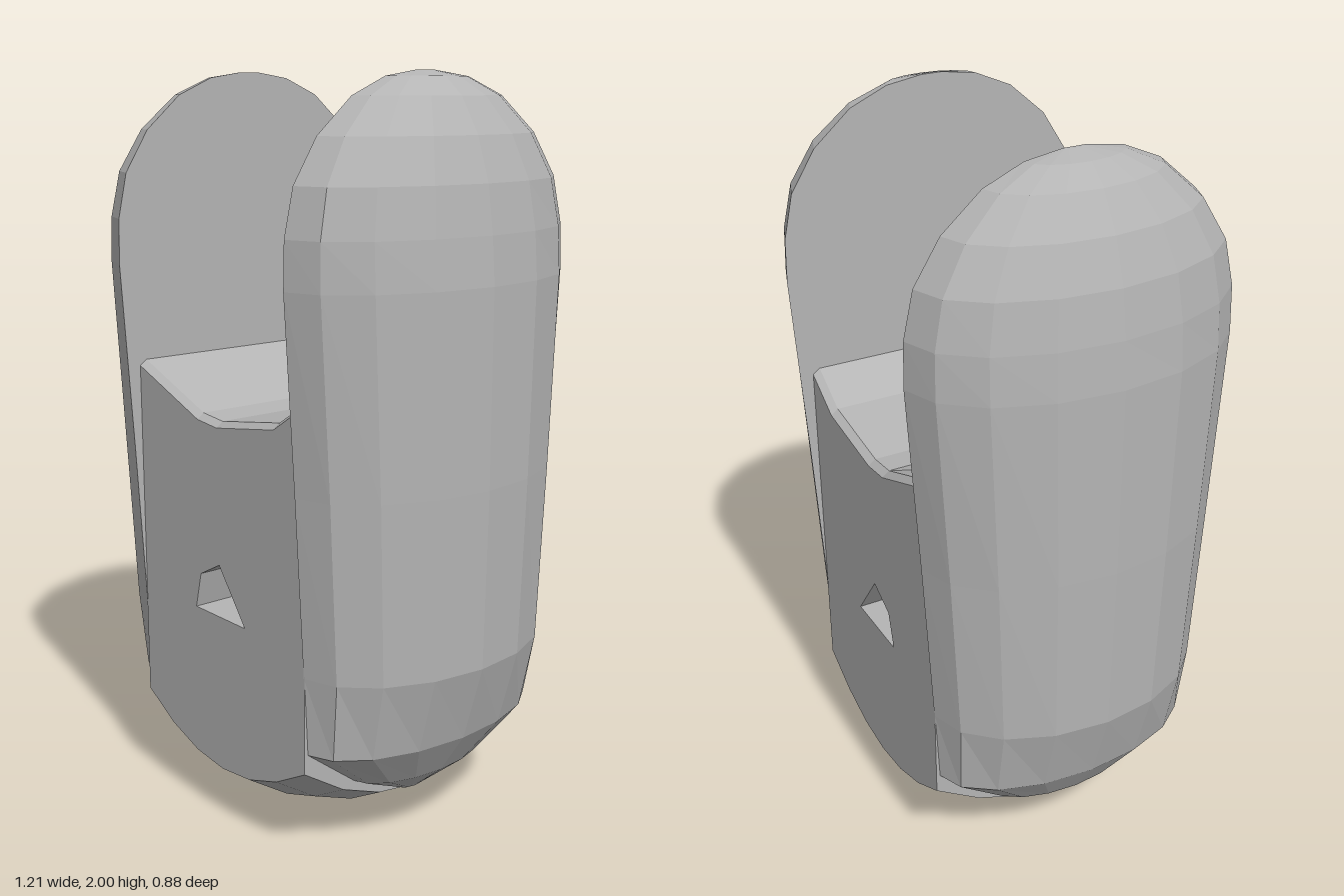
import * as THREE from 'three';
import { mergeGeometries } from 'three/addons/utils/BufferGeometryUtils.js';

const W = 0.357, D = 0.385;

// Skin rows of points with faceted quads; the normal points along row x column
function loft(rows, closed = false) {
  const pos = [];
  for (let i = 0; i < rows.length - 1; i++) {
    const p = rows[i], q = rows[i + 1], n = p.length;
    for (let j = 0; j < (closed ? n : n - 1); j++) {
      const k = (j + 1) % n;
      pos.push(...p[j], ...q[j], ...q[k], ...p[j], ...q[k], ...p[k]);
    }
  }
  const g = new THREE.BufferGeometry();
  g.setAttribute('position', new THREE.Float32BufferAttribute(pos, 3));
  g.computeVertexNormals();
  return g;
}

const steps = (a, b, n) => Array.from({ length: n + 1 }, (_, i) => a + (b - a) * i / n);

// Half-capsule arm: height, half width, bulge
const ARM = [
  [0.12, 0.04, 0.005], [0.2, 0.22, 0.1], [0.32, 0.375, 0.18], [0.53, 0.385, 0.242],
  [1.0, 0.41, 0.25], [1.5, 0.44, 0.248], [1.62, 0.437, 0.238], [1.74, 0.41, 0.22],
  [1.85, 0.34, 0.182], [1.94, 0.235, 0.125], [1.985, 0.13, 0.07], [2.0, 0.03, 0.01],
];

function armGeometry(side) {
  const rows = ARM.map(([y, hw, d]) => steps(-Math.PI / 2, Math.PI / 2, 8).map(
    a => [side * (0.355 + d * Math.cos(a)), y, side * hw * Math.sin(a)]));
  // pinch both ends shut
  const shut = (row, y) => row.map(() => [side * 0.357, y, 0]);
  return loft([shut(rows[0], 0.115), ...rows, shut(rows[0], 2)], true);
}

// Domed underside height
const bottomY = (x, z) => 0.12 * (x / W) ** 2 + 0.15 * (z / D) ** 2;

// Dished top profile of the core
const TOP = [[-W, 1.235], [-0.085, 1.13], [0, 1.122], [0.24, 1.16], [W, 1.235]];
const HOLE = [[-0.11, 0.59], [0.11, 0.59], [0, 0.735], [-0.085, 0.69]];
const BEVEL = 0.015;

function panelGeometry() {
  const pts = steps(-W, W, 6).map(x => new THREE.Vector2(x, bottomY(x, D)));
  for (const [x, y] of [...TOP].reverse()) pts.push(new THREE.Vector2(x, y - BEVEL));
  const shape = new THREE.Shape(pts);
  shape.holes.push(new THREE.Path(HOLE.map(([x, y]) => new THREE.Vector2(x, y))));
  return new THREE.ShapeGeometry(shape);
}

// Top skin with a wedge-shaped pocket behind the centre on one side
function topGeometry() {
  const cols = [TOP[0], TOP[1], ...TOP.slice(1)];
  const rows = [[-D, -BEVEL, 0], [-D + 0.02, 0, 0], [-0.22, 0, 0.035], [-0.13, 0, 0.13],
    [-0.13, 0, 0], [D - 0.02, 0, 0], [D, -BEVEL, 0]];
  return loft(rows.map(([z, lift, drop], r) => cols.map(([x, y], c) => [
    x, y + lift - (c < 2 ? drop : 0), r === 2 && c === 0 ? -0.3 : z])));
}

export function createModel() {
  const group = new THREE.Group();
  const grey = new THREE.MeshStandardMaterial({ color: 0xb4b4b4 });
  grey.name = 'plain grey';
  grey.flatShading = true;
  grey.side = THREE.DoubleSide;

  const add = (name, geometry) => {
    const mesh = new THREE.Mesh(geometry, grey);
    mesh.name = name;
    group.add(mesh);
    return mesh;
  };

  // Two rounded arms
  add('leftArm', armGeometry(1));
  add('rightArm', armGeometry(-1));

  // Front and back walls with the window opening
  add('frontWall', panelGeometry()).position.z = D;
  const back = panelGeometry();
  back.translate(0, 0, -D);
  const idx = back.index.array;
  for (let i = 0; i < idx.length; i += 3) [idx[i], idx[i + 1]] = [idx[i + 1], idx[i]];
  back.computeVertexNormals();
  add('backWall', back);

  // Tunnel through the core
  add('windowTunnel', loft([-D, D].map(z => HOLE.map(([x, y]) => [x, y, z])), true));

  // Dished seat on top
  add('dishedTop', topGeometry());

  // Domed underside
  add('domedBase', loft(steps(-W, W, 6).map(x =>
    steps(-D, D, 6).map(z => [x, bottomY(x, z), z]))));

  // Short side cheeks beneath the arms
  const cheeks = [1, -1].map(s => loft([0, 1].map(t =>
    steps(-D, D, 6).map(z => [s * W, t ? 0.5 : bottomY(W, z), s * z]))));
  add('sideCheeks', mergeGeometries(cheeks));

  return group;
}
